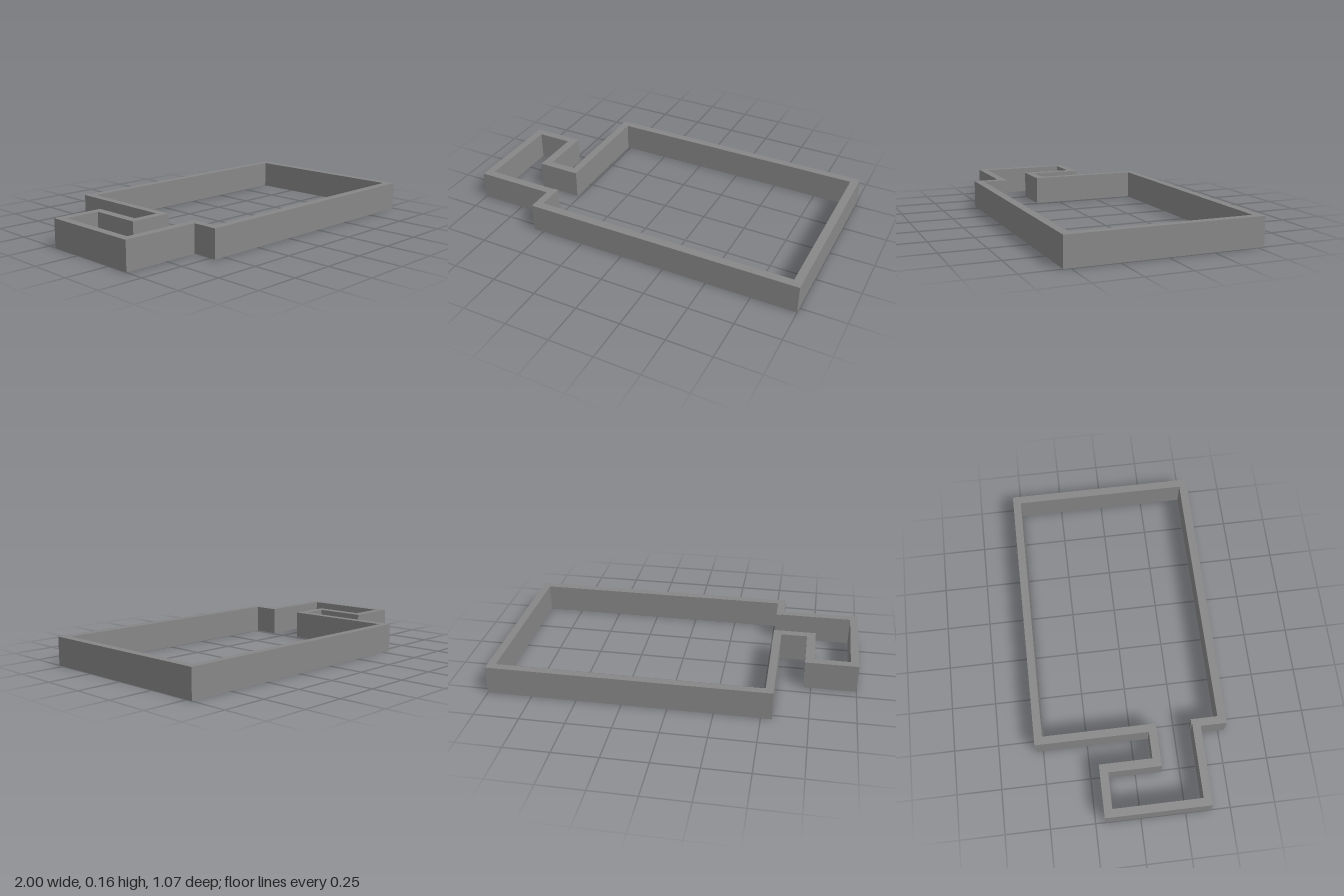
import * as THREE from 'three';

// Plan points are [x, z]; the shape is laid flat so its y becomes -z.
const toVectors = (points) => points.map(([x, z]) => new THREE.Vector2(x, -z));

export function createModel() {
  const height = 0.16;
  const group = new THREE.Group();
  group.name = 'floorPlanWalls';

  // Outer face of the walls: small room on the left, large room on the right
  const outer = [
    [-1, -0.197], [-0.708, -0.197], [-0.708, 0.098], [-0.56, 0.098], [-0.56, -0.536],
    [1, -0.536], [1, 0.536], [-0.56, 0.536], [-0.56, 0.388], [-1, 0.388],
  ];

  // Inner face, with the open passage between rooms and a small nib at its corner
  const inner = [
    [-0.955, -0.151], [-0.757, -0.151], [-0.757, 0.144], [-0.516, 0.144], [-0.516, -0.491],
    [0.954, -0.491], [0.954, 0.488], [-0.516, 0.488], [-0.516, 0.338], [-0.542, 0.338],
    [-0.542, 0.343], [-0.955, 0.343],
  ];

  // The hole runs opposite to the outline so its walls face into the rooms
  const plan = new THREE.Shape(toVectors(outer));
  plan.holes.push(new THREE.Path(toVectors(inner).reverse()));

  // Raise the plan into one continuous wall
  const geometry = new THREE.ExtrudeGeometry(plan, { depth: height, bevelEnabled: false });
  geometry.rotateX(-Math.PI / 2);
  const walls = new THREE.Mesh(
    geometry,
    new THREE.MeshStandardMaterial({ color: 0x878787 })
  );
  walls.name = 'walls';
  group.add(walls);
  return group;
}
